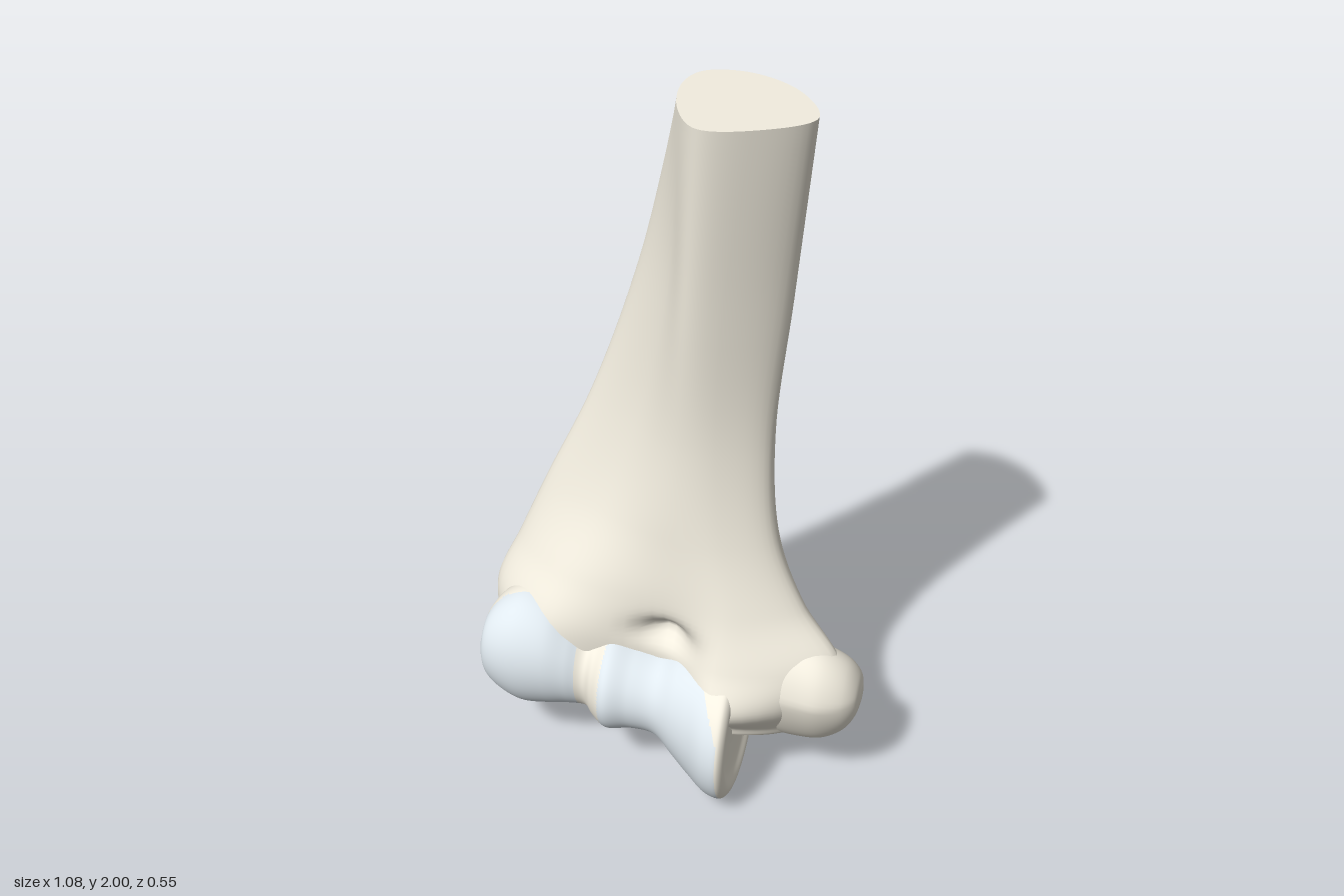
import * as THREE from 'three';

// Smooth skin over closed rings of control points, with a fan closing each end.
// Rings run counterclockwise as seen from beyond the first ring.
function loft(rings, stepsAlong, stepsAround, adjust = () => {}) {
  const n = rings[0].length;
  const columns = rings[0].map((_, i) => new THREE.CatmullRomCurve3(rings.map((r) => r[i])));
  const rows = (rings.length - 1) * stepsAlong;
  const around = n * stepsAround;
  const points = [];
  for (let j = 0; j <= rows; j++) {
    const loop = new THREE.CatmullRomCurve3(columns.map((c) => c.getPoint(j / rows)), true);
    for (let i = 0; i < around; i++) {
      const p = loop.getPoint(i / around);
      adjust(p);
      points.push(p);
    }
  }
  const index = [];
  for (let j = 0; j < rows; j++) {
    for (let i = 0; i < around; i++) {
      const k = (i + 1) % around;
      const a = j * around + i, b = j * around + k, c = a + around, d = b + around;
      index.push(a, c, b, b, c, d);
    }
  }
  // End faces use their own vertices so their rims stay sharp
  for (const [start, flip] of [[0, false], [rows * around, true]]) {
    const rim = points.slice(start, start + around);
    const centre = rim.reduce((s, p) => s.add(p), new THREE.Vector3()).divideScalar(around);
    const first = points.length;
    points.push(centre, ...rim);
    for (let i = 0; i < around; i++) {
      const p = first + 1 + i, q = first + 1 + ((i + 1) % around);
      if (flip) index.push(first, q, p);
      else index.push(first, p, q);
    }
  }
  const geometry = new THREE.BufferGeometry().setFromPoints(points);
  geometry.setIndex(index);
  geometry.computeVertexNormals();
  return geometry;
}

// Part of a geometry whose face centres pass a test, keeping the shared normals
function pick(geometry, test) {
  const pos = geometry.attributes.position;
  const source = geometry.index.array;
  const kept = [];
  const c = new THREE.Vector3(), p = new THREE.Vector3();
  for (let f = 0; f < source.length; f += 3) {
    c.set(0, 0, 0);
    for (let k = 0; k < 3; k++) c.add(p.fromBufferAttribute(pos, source[f + k]));
    if (test(c.divideScalar(3))) kept.push(source[f], source[f + 1], source[f + 2]);
  }
  const part = geometry.clone();
  part.setIndex(kept);
  return part;
}

// Horizontal ring from a height and x, z pairs
function levelRing([y, ...xz], s = 1) {
  const out = [];
  for (let i = 0; i < xz.length; i += 2) out.push(new THREE.Vector3(xz[i] * s, y, xz[i + 1] * s));
  return out;
}

// Upright elliptical ring: x, centre y, centre z, vertical radius, depth radius
function sideRing([x, cy, cz, ry, rz]) {
  const out = [];
  for (let i = 0; i < 16; i++) {
    const a = (i / 16) * Math.PI * 2;
    out.push(new THREE.Vector3(x, cy + ry * Math.sin(a), cz - rz * Math.cos(a)));
  }
  return out;
}

const bump = (p, x, y, rx, ry) => Math.exp(-(((p.x - x) / rx) ** 2) - ((p.y - y) / ry) ** 2);

export function createModel() {
  const group = new THREE.Group();
  const bone = new THREE.MeshStandardMaterial({ color: 0xf3eee0 });
  const cartilage = new THREE.MeshStandardMaterial({ color: 0xe0e9ef });
  const add = (name, geometry, material) => {
    const mesh = new THREE.Mesh(geometry, material);
    mesh.name = name;
    group.add(mesh);
  };

  // Shaft flaring into both columns: height, then x, z pairs
  // for side, front (3), other side, back (3)
  const sections = [
    [2, 0, -0.11, 0.03, 0.05, 0.1, 0.145, 0.22, 0.12, 0.345, 0.02, 0.265, -0.135, 0.13, -0.205, 0.03, -0.185],
    [1.5, -0.125, -0.15, -0.01, 0, 0.06, 0.088, 0.15, 0.078, 0.295, -0.03, 0.23, -0.16, 0.09, -0.232, -0.07, -0.215],
    [1.1, -0.26, -0.16, -0.1, -0.04, 0.03, 0.05, 0.13, 0.05, 0.26, -0.03, 0.2, -0.17, 0.05, -0.236, -0.17, -0.225],
    [0.8, -0.395, -0.16, -0.2, -0.02, 0, 0.06, 0.15, 0.065, 0.285, -0.01, 0.21, -0.16, 0, -0.225, -0.26, -0.262],
    [0.6, -0.48, -0.15, -0.3, 0.03, 0, 0.075, 0.19, 0.1, 0.37, 0, 0.23, -0.145, 0, -0.175, -0.28, -0.276],
    [0.45, -0.54, -0.115, -0.36, 0.08, 0, 0.07, 0.18, 0.15, 0.48, 0.02, 0.23, -0.13, 0, -0.09, -0.28, -0.265],
    [0.33, -0.52, -0.08, -0.36, 0.08, 0, 0.06, 0.18, 0.19, 0.45, 0.01, 0.28, -0.09, -0.02, -0.08, -0.27, -0.24],
    [0.21, -0.46, -0.03, -0.35, 0.05, 0, 0.05, 0.19, 0.09, 0.38, 0.02, 0.29, -0.04, -0.02, -0.05, -0.26, -0.18],
  ];
  const bodyRings = sections.map((s) => levelRing(s));
  // Rounded underside
  const base = sections[sections.length - 1].slice(1);
  for (const [y, s] of [[0.175, 0.88], [0.155, 0.6], [0.15, 0.2]]) bodyRings.push(levelRing([y, ...base], s));
  // Hollows above the joint: a wide one behind, a small one in front
  const hollow = (p) => {
    if (p.z < -0.03) p.z += 0.04 * bump(p, 0, 0.5, 0.12, 0.1);
    else p.z -= 0.06 * bump(p, 0.01, 0.485, 0.07, 0.04);
  };
  add('shaftAndColumns', loft(bodyRings, 9, 9, hollow), bone);

  // Blunt knob on the inner side
  const knob = [
    [0.54, 0.345, -0.015, 0.025, 0.025],
    [0.53, 0.342, -0.01, 0.065, 0.06],
    [0.5, 0.338, 0.0, 0.115, 0.085],
    [0.44, 0.337, 0.012, 0.157, 0.1],
    [0.37, 0.34, 0.012, 0.172, 0.1],
    [0.28, 0.345, 0.01, 0.17, 0.095],
    [0.18, 0.34, 0.01, 0.13, 0.09],
  ];
  // The knob narrows and slants back towards its lower edge
  const teardrop = (p) => {
    const t = THREE.MathUtils.clamp((p.y - 0.17) / 0.2, 0, 1);
    p.z = p.z * (0.65 + 0.4 * t) + 0.015 * t;
  };
  add('epicondyle', loft(knob.map(sideRing), 6, 4, teardrop), bone);

  // Joint roller, from the inner flange to the outer ball
  const roller = [
    [0.2, 0.215, 0.065, 0.06, 0.06],
    [0.207, 0.215, 0.065, 0.14, 0.14],
    [0.219, 0.215, 0.065, 0.185, 0.185],
    [0.203, 0.215, 0.065, 0.212, 0.212],
    [0.16, 0.215, 0.06, 0.213, 0.208],
    [0.1, 0.23, 0.045, 0.2, 0.182],
    [0.05, 0.247, 0.03, 0.178, 0.167],
    [-0.01, 0.265, 0.01, 0.14, 0.158],
    [-0.08, 0.275, 0.005, 0.142, 0.168],
    [-0.145, 0.28, 0, 0.157, 0.19],
    [-0.19, 0.28, -0.01, 0.148, 0.165],
    [-0.22, 0.29, -0.02, 0.142, 0.148],
    [-0.27, 0.31, -0.01, 0.155, 0.152],
    [-0.33, 0.325, 0, 0.177, 0.157],
    [-0.41, 0.328, 0.002, 0.187, 0.16],
    [-0.47, 0.332, 0.015, 0.158, 0.136],
    [-0.51, 0.335, 0.045, 0.11, 0.085],
    [-0.525, 0.335, 0.065, 0.05, 0.04],
  ];
  const joint = loft(roller.map(sideRing), 8, 5);
  const isTrochlea = (c) =>
    c.x > -0.16 && c.x < 0.2 && c.y < 0.44 - 9 * Math.max(0, c.x - 0.07) ** 2;
  const isCapitulum = (c) =>
    c.x < -0.245 && c.z > 0.03 - 0.4 * Math.max(0, 0.28 - c.y) + 0.8 * Math.max(0, -0.47 - c.x);
  add('trochlea', pick(joint, isTrochlea), cartilage);
  add('capitulum', pick(joint, isCapitulum), cartilage);
  add('jointRidgeAndFlange', pick(joint, (c) => !isTrochlea(c) && !isCapitulum(c)), bone);

  return group;
}
